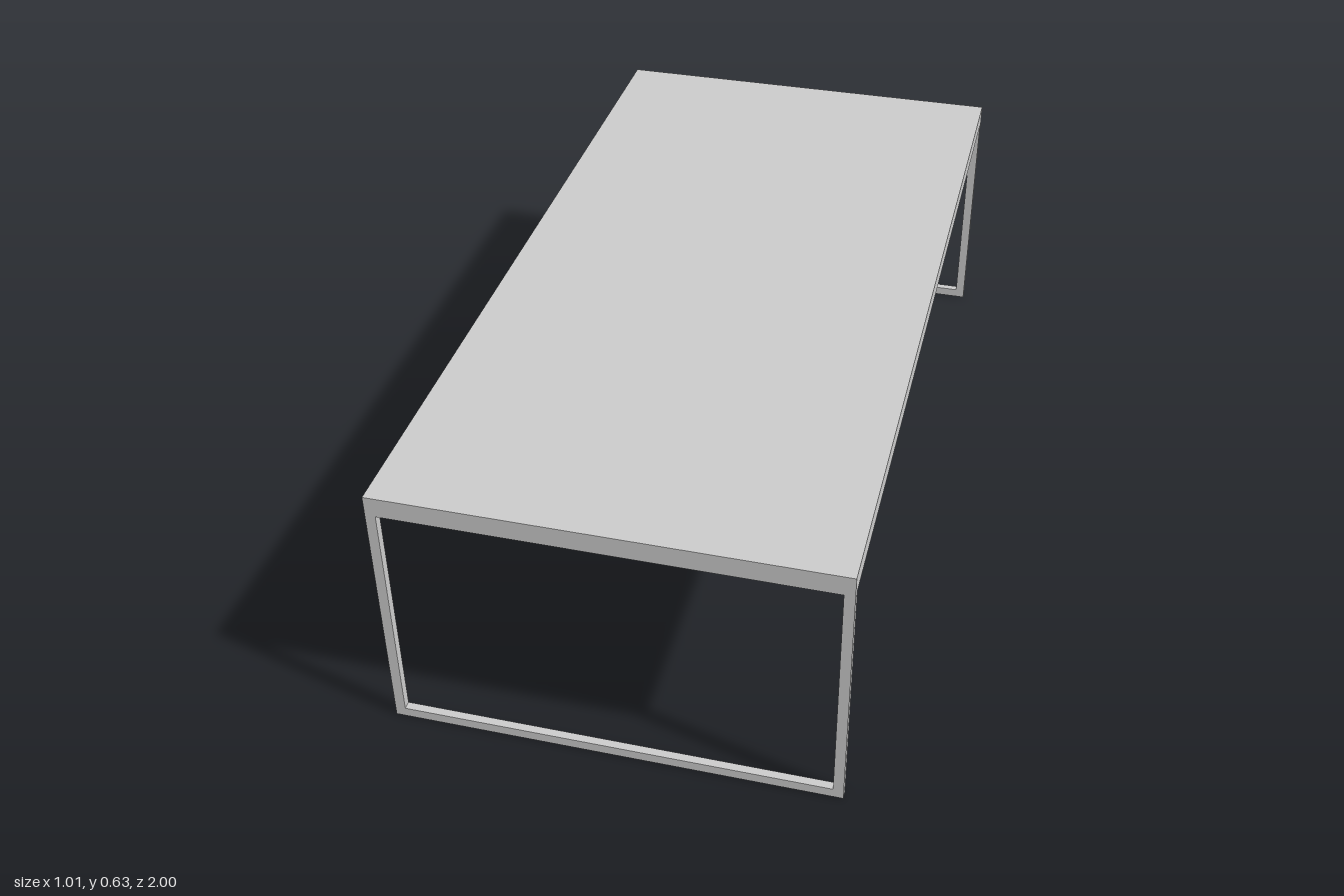
import * as THREE from 'three';

export function createModel() {
  const table = new THREE.Group();
  table.name = 'table';
  const material = new THREE.MeshStandardMaterial({ color: 0xcccccc });

  const W = 1.01, H = 0.628, L = 2; // overall width, height, length
  const bar = 0.023, depth = 0.019; // square tube section
  const topT = 0.024;               // table top thickness
  const frameH = H - topT;

  function box(name, w, h, d, x, y, z, parent) {
    const mesh = new THREE.Mesh(new THREE.BoxGeometry(w, h, d), material);
    mesh.name = name;
    mesh.position.set(x, y, z);
    parent.add(mesh);
  }

  // Flat table top
  box('tableTop', W, topT, L, 0, H - topT / 2, 0, table);

  // Rectangular leg frame at each end
  for (const s of [1, -1]) {
    const frame = new THREE.Group();
    frame.name = s > 0 ? 'frontLegFrame' : 'backLegFrame';
    frame.position.z = s * (L - depth) / 2;
    table.add(frame);
    for (const x of [1, -1]) {
      box(x > 0 ? 'leftLeg' : 'rightLeg', bar, frameH, depth, x * (W - bar) / 2, frameH / 2, 0, frame);
    }
    box('floorBar', W - 2 * bar, bar, depth, 0, bar / 2, 0, frame);
    box('topBar', W - 2 * bar, bar, depth, 0, frameH - bar / 2, 0, frame);
  }

  // Long rails under the top, joining the two frames
  for (const x of [1, -1]) {
    box(x > 0 ? 'leftRail' : 'rightRail', bar, bar, L - 2 * depth, x * (W - bar) / 2, frameH - bar / 2, 0, table);
  }

  return table;
}
